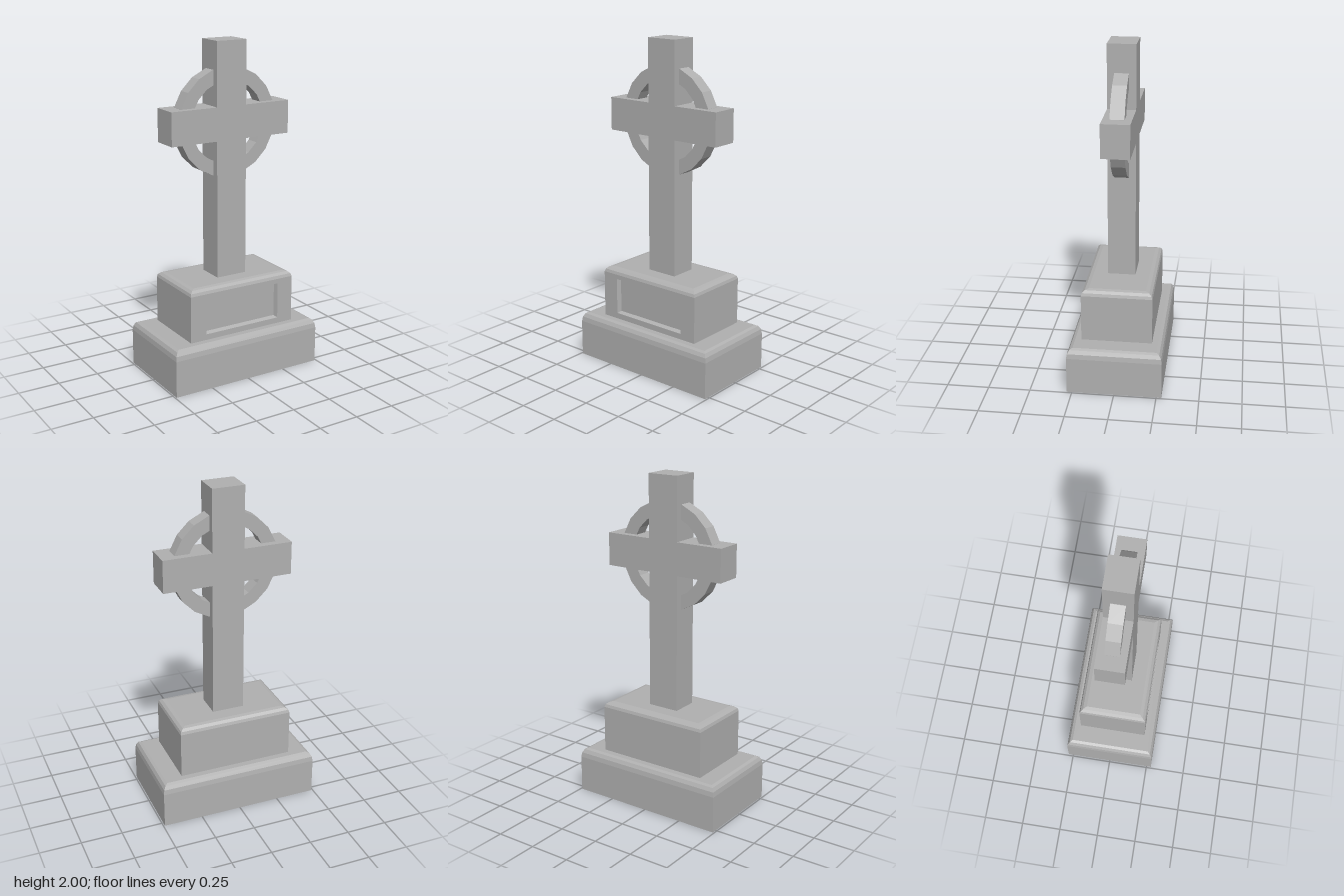
import * as THREE from 'three';

const stone = new THREE.MeshStandardMaterial({ color: 0xb0b0b0, side: THREE.DoubleSide });
stone.name = 'grey stone';

// Four corners of a level rectangle, starting at the front left seen from the front
const level = (hx, hz, y) => [[-hx, y, hz], [hx, y, hz], [hx, y, -hz], [-hx, y, -hz]];
// Four corners of an upright rectangle facing the front
const upright = (hx, y0, y1, z) => [[-hx, y0, z], [hx, y0, z], [hx, y1, z], [-hx, y1, z]];

// Collects quads into a flat shaded mesh
function quadMesh(name, quads) {
  const pos = [];
  for (const [a, b, c, d] of quads) pos.push(...a, ...b, ...c, ...a, ...c, ...d);
  const geo = new THREE.BufferGeometry();
  geo.setAttribute('position', new THREE.Float32BufferAttribute(pos, 3));
  geo.computeVertexNormals();
  const mesh = new THREE.Mesh(geo, stone);
  mesh.name = name;
  return mesh;
}

// Quads joining two four-cornered loops
const band = (a, b) => a.map((p, i) => [p, a[(i + 1) % 4], b[(i + 1) % 4], b[i]]);

// Bands of a rounded upper edge, from the wall top to the flat top
function roundedEdge(hx, hz, y0, y1, inset) {
  const steps = 3, quads = [];
  const loop = (i) => {
    const t = (i / steps) * Math.PI / 2, s = inset * (1 - Math.cos(t));
    return level(hx - s, hz - s, y0 + (y1 - y0) * Math.sin(t));
  };
  for (let i = 0; i < steps; i++) quads.push(...band(loop(i), loop(i + 1)));
  return quads;
}

function extruded(name, shape, depth, y) {
  const geo = new THREE.ExtrudeGeometry(shape, { depth, bevelEnabled: false, curveSegments: 1 });
  geo.translate(0, y, -depth / 2);
  const mesh = new THREE.Mesh(geo, stone);
  mesh.name = name;
  return mesh;
}

export function createModel() {
  const group = new THREE.Group();
  group.name = 'stone cross monument';

  // Plinth, hollow and open underneath
  const [px, pz, bx, bz] = [0.491, 0.28, 0.353, 0.21];
  group.add(quadMesh('plinth', [
    ...band(level(px, pz, 0), level(px, pz, 0.222)),
    ...roundedEdge(px, pz, 0.222, 0.28, 0.033),
    ...band(level(px - 0.033, pz - 0.033, 0.28), level(bx, bz, 0.28)),
  ]));

  // Upper block with a recessed panel in its front wall
  const opening = upright(0.251, 0.315, 0.537, bz);
  const panel = upright(0.24, 0.325, 0.527, bz - 0.025);
  group.add(quadMesh('upperBlock', [
    ...band(level(bx, bz, 0.28), level(bx, bz, 0.565)).slice(1),
    ...band(upright(bx, 0.28, 0.565, bz), opening),
    ...roundedEdge(bx, bz, 0.565, 0.6, 0.042),
    level(bx - 0.042, bz - 0.042, 0.6),
  ]));
  group.add(quadMesh('recessedPanel', [...band(opening, panel), panel]));

  // Cross: shaft and arms in one outline
  const w = 0.098, arm = 0.393, lo = 1.427, hi = 1.625;
  const right = [[w, 0.6], [w, lo], [arm, lo], [arm, hi], [w, hi], [w, 2]];
  const left = right.map(([x, y]) => [-x, y]).reverse();
  const outline = [...right, ...left].map(([x, y]) => new THREE.Vector2(x, y));
  group.add(extruded('cross', new THREE.Shape(outline), 0.166, 0));

  // Faceted ring behind the crossing
  const circle = (r) => Array.from({ length: 20 }, (_, i) => {
    const a = (i / 20) * Math.PI * 2;
    return new THREE.Vector2(r * Math.cos(a), r * Math.sin(a));
  });
  const ring = new THREE.Shape(circle(0.324));
  ring.holes.push(new THREE.Path(circle(0.243).reverse()));
  group.add(extruded('ring', ring, 0.083, 1.526));

  return group;
}
